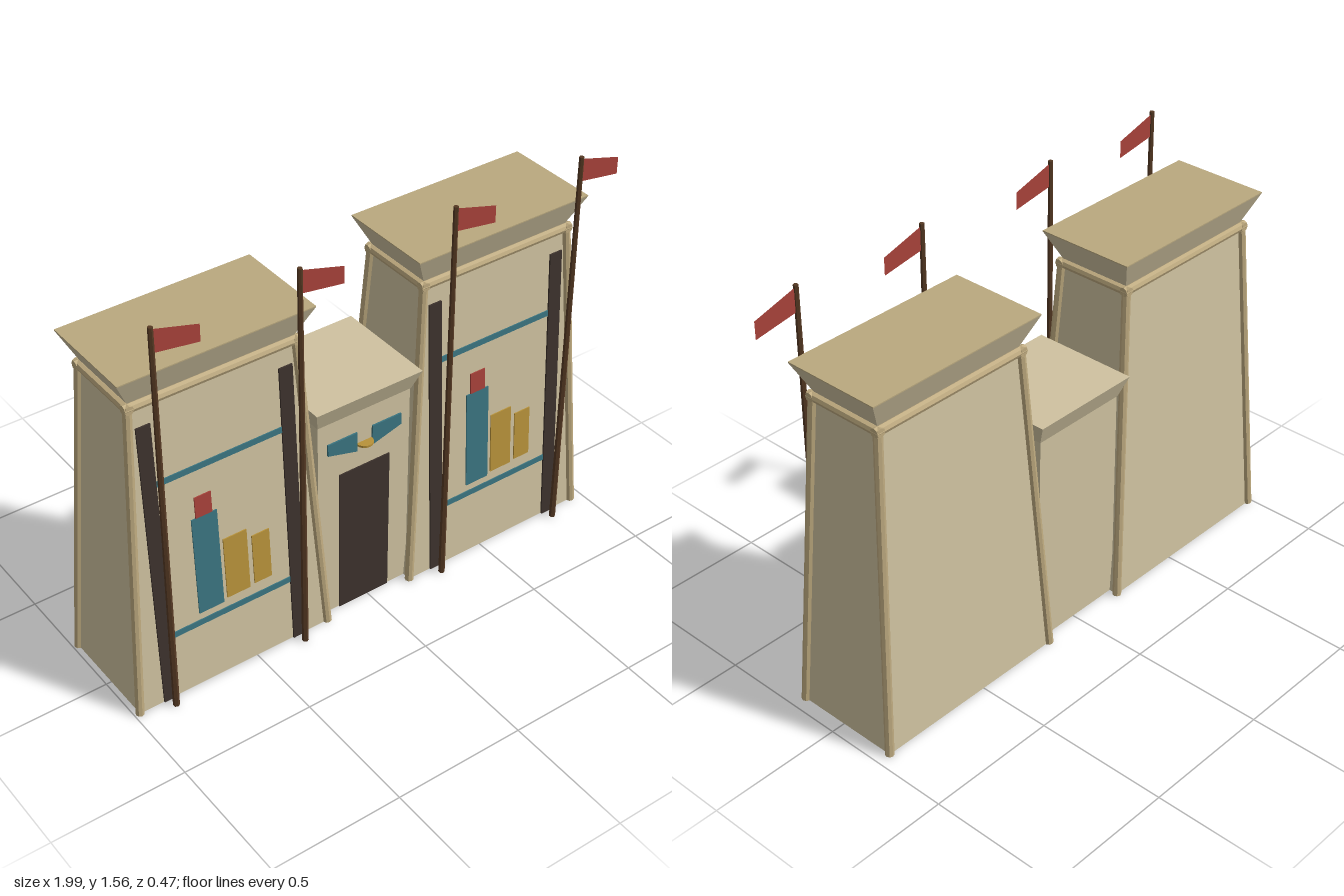
import * as THREE from 'three';

const mat = (color) => new THREE.MeshStandardMaterial({ color, flatShading: true, side: THREE.DoubleSide });
const M = {
  wall: mat(0xcfc2a0), roll: mat(0xbfab80), roof: mat(0xbaa97f), wood: mat(0x553923),
  dark: mat(0x3d322d), teal: mat(0x3a7480), red: mat(0xa8423a), gold: mat(0xb8923a),
};
const CZ = -0.0165;                      // depth centre of the masonry
const BASE = [0.39, 0.205], TOP = [0.314, 0.145], WALL_H = 1.215;

function add(parent, name, geometry, material, x = 0, y = 0, z = 0) {
  const mesh = new THREE.Mesh(geometry, material);
  mesh.name = name;
  mesh.position.set(x, y, z);
  parent.add(mesh);
  return mesh;
}

// Four-sided block whose half sizes change from bottom to top
function frustum([bx, bz], [tx, tz], y0, y1, openBottom = false) {
  const g = new THREE.BoxGeometry(2, 1, 2);
  const p = g.attributes.position;
  for (let i = 0; i < p.count; i++) {
    const up = p.getY(i) > 0;
    p.setXYZ(i, p.getX(i) * (up ? tx : bx), up ? y1 : y0, p.getZ(i) * (up ? tz : bz));
  }
  if (openBottom) g.setIndex([...g.index.array].filter((_, i) => i < 18 || i >= 24));
  g.computeVertexNormals();
  return g;
}

// Round rod between two points
function rod(parent, name, a, b, r, material) {
  const dir = b.clone().sub(a);
  const mesh = add(parent, name, new THREE.CylinderGeometry(r, r, dir.length(), 8), material);
  mesh.position.copy(a).add(b).multiplyScalar(0.5);
  mesh.quaternion.setFromUnitVectors(new THREE.Vector3(0, 1, 0), dir.normalize());
}

function polygon(points) {
  return new THREE.Shape(points.map(([x, y]) => new THREE.Vector2(x, y)));
}

// Thin painted panel lying on the sloping front of a tower
function panel(parent, name, x, w, y0, y1, material, lift) {
  const slope = (BASE[1] - TOP[1]) / WALL_H;
  const g = new THREE.BoxGeometry(w, y1 - y0, 0.006);
  const p = g.attributes.position;
  const mid = (y0 + y1) / 2;
  for (let i = 0; i < p.count; i++) {
    p.setZ(i, p.getZ(i) + BASE[1] - slope * (p.getY(i) + mid) + lift);
  }
  g.computeVertexNormals();
  add(parent, name, g, material, x, mid, 0);
}

function tower(name, x) {
  const t = new THREE.Group();
  t.name = name;
  t.position.set(x, 0, CZ);
  add(t, 'towerWalls', frustum(BASE, TOP, 0, WALL_H, true), M.wall);

  // Corner rolls and the ring of rolls under the cornice
  const V = (sx, sz, s, y) => new THREE.Vector3(sx * s[0], y, sz * s[1]);
  for (const s of [-1, 1]) {
    for (const sz of [-1, 1]) rod(t, 'cornerRoll', V(s, sz, BASE, 0), V(s, sz, TOP, WALL_H), 0.016, M.roll);
    const ends = [TOP[0] + 0.016, TOP[1] + 0.016];
    rod(t, 'topRoll', V(-1, s, [ends[0], TOP[1]], 1.218), V(1, s, [ends[0], TOP[1]], 1.218), 0.017, M.roll);
    rod(t, 'topRoll', V(s, -1, [TOP[0], ends[1]], 1.218), V(s, 1, [TOP[0], ends[1]], 1.218), 0.017, M.roll);
  }

  // Flaring cornice with a darker roof
  add(t, 'cornice', frustum([0.31, 0.14], [0.366, 0.1875], 1.23, 1.343), M.wall);
  add(t, 'roof', new THREE.BoxGeometry(0.732, 0.004, 0.375), M.roof, 0, 1.345, 0);

  // Painted reliefs
  panel(t, 'lowerBand', 0, 0.5, 0.254, 0.276, M.teal, 0.001);
  panel(t, 'upperBand', 0, 0.5, 0.885, 0.907, M.teal, 0.001);
  panel(t, 'tallFigure', -0.078, 0.099, 0.305, 0.698, M.teal, 0.001);
  panel(t, 'tallFigureHead', -0.078, 0.064, 0.698, 0.781, M.red, 0.001);
  panel(t, 'middleFigure', 0.032, 0.093, 0.316, 0.564, M.gold, 0.001);
  panel(t, 'smallFigure', 0.132, 0.07, 0.322, 0.524, M.gold, 0.001);

  // Flagpoles standing before dark slots
  const flag = new THREE.ShapeGeometry(polygon([[0, 1.46], [0.17, 1.433], [0.17, 1.498], [0, 1.547]]));
  for (const px of [-0.268, 0.268]) {
    panel(t, 'poleSlot', px, 0.053, 0, 1.134, M.dark, 0.003);
    add(t, 'flagpole', new THREE.CylinderGeometry(0.009, 0.012, 1.555, 6), M.wood, px, 0.7775, 0.2415);
    add(t, 'flag', flag, M.red, px, 0, 0.2415);
  }
  return t;
}

function gateway() {
  const g = new THREE.Group();
  g.name = 'gateway';
  g.position.set(CZ, 0, CZ);
  const half = [0.194, 0.17];
  add(g, 'gateWalls', frustum(half, half, 0, 0.84, true), M.wall);
  add(g, 'gateCornice', frustum([0.196, 0.172], [0.22, 0.2045], 0.84, 0.921), M.wall);
  add(g, 'doorway', new THREE.BoxGeometry(0.214, 0.602, 0.01), M.dark, 0, 0.301, 0.17);

  // Winged disc above the door
  for (const s of [-1, 1]) {
    const wing = polygon([[s * 0.032, 0.674], [s * 0.155, 0.708], [s * 0.155, 0.754], [s * 0.032, 0.754]]);
    add(g, 'wing', new THREE.ExtrudeGeometry(wing, { depth: 0.008, bevelEnabled: false }), M.teal, 0, 0, 0.168);
  }
  add(g, 'sunDisc', new THREE.CylinderGeometry(0.033, 0.033, 0.008, 16), M.gold, 0, 0.7, 0.171);
  return g;
}

export function createModel() {
  const model = new THREE.Group();
  model.name = 'templeGate';
  model.add(tower('rightTower', -0.59), tower('leftTower', 0.558), gateway());
  return model;
}
